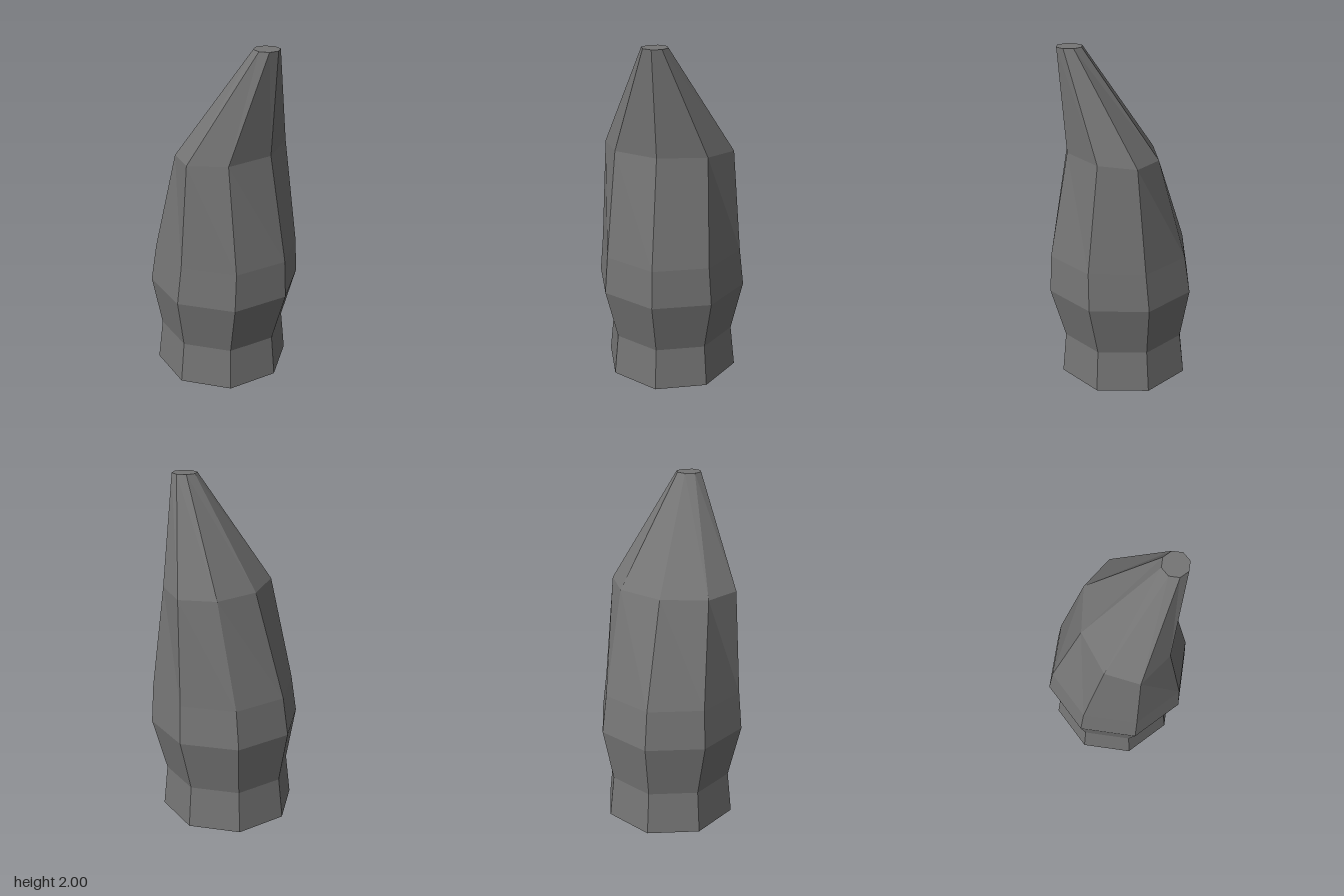
import * as THREE from 'three';

const SIDES = 8;

// Regular octagonal ring, corners starting at +x and turning towards +z
function ring(cx, y, cz, r) {
  return Array.from({ length: SIDES }, (_, i) => {
    const a = (i / SIDES) * Math.PI * 2;
    return [cx + r * Math.cos(a), y, cz + r * Math.sin(a)];
  });
}

// Skin a stack of rings and close both ends
function loft(rings) {
  const pos = [];
  const tri = (a, b, c) => pos.push(...a, ...b, ...c);
  for (let k = 0; k < rings.length - 1; k++) {
    const lo = rings[k], hi = rings[k + 1];
    for (let i = 0; i < SIDES; i++) {
      const j = (i + 1) % SIDES;
      tri(lo[i], hi[i], hi[j]);
      tri(lo[i], hi[j], lo[j]);
    }
  }
  const bottom = rings[0], top = rings[rings.length - 1];
  for (let i = 1; i < SIDES - 1; i++) {
    tri(bottom[0], bottom[i], bottom[i + 1]);
    tri(top[0], top[i + 1], top[i]);
  }
  const geo = new THREE.BufferGeometry();
  geo.setAttribute('position', new THREE.Float32BufferAttribute(pos, 3));
  geo.computeVertexNormals();
  return geo;
}

export function createModel() {
  const stone = new THREE.MeshStandardMaterial({ color: 0x757575, flatShading: true });
  stone.name = 'stone grey';

  // Skewed shoulder ring where the spike starts leaning to the corner
  const shoulder = [
    [0.355, 1.41, -0.02], [0.225, 1.41, 0.225], [-0.025, 1.405, 0.345], [-0.245, 1.4, 0.29],
    [-0.29, 1.39, 0.09], [-0.15, 1.385, -0.14], [0.09, 1.39, -0.27], [0.3, 1.4, -0.23],
  ];

  // Foot, waist, belly, upper belly, shoulder and blunt tip
  const spike = new THREE.Mesh(loft([
    ring(-0.015, 0, -0.015, 0.4),
    ring(-0.013, 0.25, -0.013, 0.373),
    ring(0, 0.565, 0, 0.443),
    ring(0.009, 0.79, 0.009, 0.419),
    shoulder,
    ring(0.193, 2, 0.212, 0.073),
  ]), stone);
  spike.name = 'rockSpike';

  const model = new THREE.Group();
  model.name = 'rockPillar';
  model.add(spike);
  return model;
}
